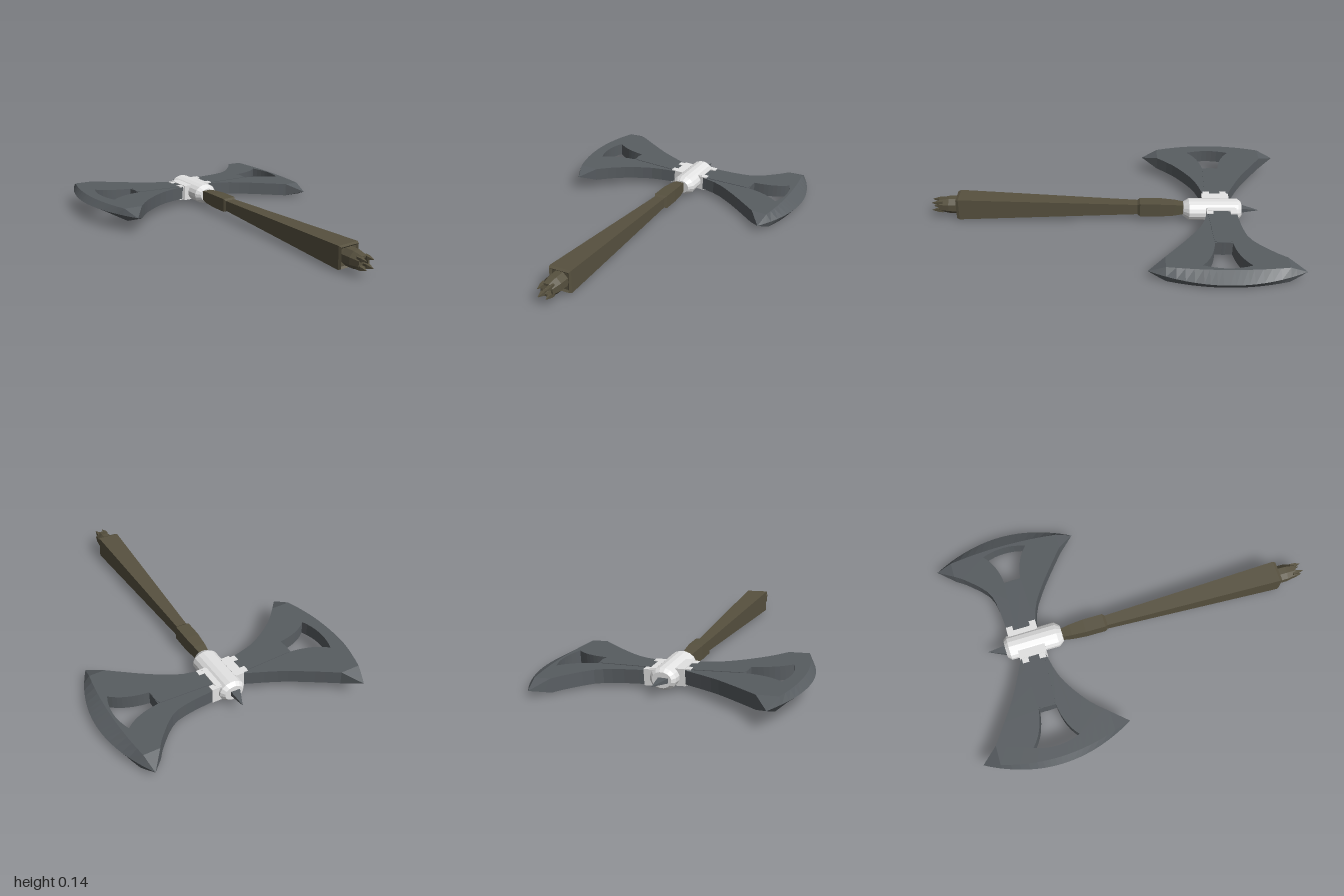
import * as THREE from 'three';

const paint = (name, color) => {
  const m = new THREE.MeshStandardMaterial({ color });
  m.name = name;
  return m;
};

function fromPositions(pos) {
  const g = new THREE.BufferGeometry();
  g.setAttribute('position', new THREE.Float32BufferAttribute(pos, 3));
  g.computeVertexNormals();
  return g;
}

// Loft polygon sections [x, centreY, centreZ, halfY, halfZ] along x.
function loft(sections, sides) {
  const k = 1 / Math.cos(Math.PI / sides);
  const rings = sections.map(([x, cy, cz, hy, hz]) =>
    Array.from({ length: sides }, (_, i) => {
      const a = ((i + 0.5) / sides) * Math.PI * 2;
      return [x, cy + Math.cos(a) * hy * k, cz + Math.sin(a) * hz * k];
    }));
  const pos = [];
  for (let s = 0; s < rings.length - 1; s++) {
    for (let i = 0; i < sides; i++) {
      const j = (i + 1) % sides;
      const a = rings[s][i], b = rings[s][j], c = rings[s + 1][j], d = rings[s + 1][i];
      pos.push(...a, ...b, ...c, ...a, ...c, ...d);
    }
  }
  // End caps
  const first = rings[0], last = rings[rings.length - 1];
  for (let i = 1; i < sides - 1; i++) {
    pos.push(...first[0], ...first[i + 1], ...first[i]);
    pos.push(...last[0], ...last[i], ...last[i + 1]);
  }
  return fromPositions(pos);
}

function mesh(name, geometry, material) {
  const m = new THREE.Mesh(geometry, material);
  m.name = name;
  return m;
}

const THICK = 0.072, TIP = 0.4, TIP_D = 0.582;
const HOLE_X = 0.125, HOLE_D = 0.58, SIDE_X = 0.31, SIDE_D = 0.51;

// Forked web between hub and rim; sides run from the rim in to the neck as [x, distance].
function webGeometry(left, right) {
  const smooth = (pts) => new THREE.SplineCurve(pts.map((p) => new THREE.Vector2(...p))).getPoints(10);
  const shape = new THREE.Shape(smooth(left).reverse());
  shape.lineTo(-HOLE_X, HOLE_D);
  shape.quadraticCurveTo(-0.06, 0.51, -0.047, 0.387);
  shape.lineTo(0.047, 0.387);
  shape.quadraticCurveTo(0.06, 0.51, HOLE_X, HOLE_D);
  for (const p of smooth(right)) shape.lineTo(p.x, p.y);
  const g = new THREE.ExtrudeGeometry(shape, { depth: THICK, bevelEnabled: false, curveSegments: 8 });
  return g.translate(0, 0, -THICK / 2);
}

// Inner boundary of the rim: opening arc, then web joint, then out to the tip.
function rimInner(x) {
  const a = Math.abs(x);
  if (a <= HOLE_X) return 0.605 - 0.025 * (a / HOLE_X) ** 2;
  if (a <= SIDE_X) return THREE.MathUtils.mapLinear(a, HOLE_X, SIDE_X, HOLE_D, SIDE_D);
  return THREE.MathUtils.mapLinear(a, SIDE_X, TIP, SIDE_D, TIP_D);
}

// Crescent rim with a sharpened edge, lofted from tip to tip.
function rimGeometry() {
  const half = [0, 0.03, 0.06, 0.095, HOLE_X, 0.17, 0.215, 0.26, SIDE_X, 0.34, 0.37, TIP];
  const xs = [...half.slice(1).reverse().map((x) => -x), ...half];
  const sections = xs.map((x) => {
    const h = (THICK / 2) * Math.min(1, (TIP - Math.abs(x)) / (TIP - SIDE_X));
    const arc = (rise) => TIP_D + rise * (1 - (x / TIP) ** 2);
    const inner = rimInner(x);
    return [[x, inner, h], [x, arc(0.036), h], [x, arc(0.115), 0], [x, arc(0.085), -h], [x, inner, -h]];
  });
  const pos = [];
  for (let s = 0; s < sections.length - 1; s++) {
    const p = sections[s], q = sections[s + 1];
    for (let k = 0; k < p.length; k++) {
      const n = (k + 1) % p.length;
      pos.push(...p[k], ...q[k], ...q[n], ...p[k], ...q[n], ...p[n]);
    }
  }
  return fromPositions(pos);
}

// Raised tongue between hub and opening.
function neckGeometry() {
  const s = new THREE.Shape();
  s.moveTo(-0.06, 0.03);
  s.lineTo(0.06, 0.03);
  s.lineTo(0.047, 0.375);
  s.quadraticCurveTo(0, 0.4, -0.047, 0.375);
  s.closePath();
  const g = new THREE.ExtrudeGeometry(s, { depth: 0.078, bevelEnabled: false });
  return g.translate(0, 0, -0.039);
}

export function createModel() {
  const model = new THREE.Group();
  model.name = 'doubleAxe';
  const steel = paint('darkSteel', 0x585d61);
  const silver = paint('silver', 0xe4e4e4);
  const wood = paint('darkWood', 0x57513f);

  // Twin blades, tilted slightly across the handle
  const head = new THREE.Group();
  head.name = 'axeHead';
  head.position.set(-0.595, 0.068, 0);
  head.rotation.x = -0.047;
  model.add(head);
  const blades = [
    ['frontBlade', 1, [-0.045, 0.05],
      [[-SIDE_X, SIDE_D], [-0.23, 0.39], [-0.15, 0.26], [-0.065, 0.08]],
      [[SIDE_X, SIDE_D], [0.21, 0.41], [0.11, 0.25], [0.065, 0.08]]],
    ['backBlade', -1, [-0.085, 0.045],
      [[-SIDE_X, SIDE_D], [-0.25, 0.465], [-0.15, 0.36], [-0.115, 0.25], [-0.1, 0.08]],
      [[SIDE_X, SIDE_D], [0.27, 0.46], [0.17, 0.33], [0.09, 0.2], [0.06, 0.08]]],
  ];
  for (const [name, dir, claws, left, right] of blades) {
    const blade = new THREE.Group();
    blade.name = name;
    blade.rotation.x = (dir * Math.PI) / 2;
    blade.add(mesh('bladeWeb', webGeometry(left, right), steel));
    blade.add(mesh('bladeRim', rimGeometry(), steel));
    blade.add(mesh('bladeNeck', neckGeometry(), steel));
    // Silver claws and collar gripping the blade root
    for (const x of claws) {
      const claw = mesh('clampClaw', new THREE.BoxGeometry(0.036, 0.07, 0.084), silver);
      claw.position.set(x, 0.08, 0);
      blade.add(claw);
    }
    const collar = mesh('clampCollar', new THREE.BoxGeometry(0.15, 0.05, 0.088), silver);
    collar.position.set((claws[0] + claws[1]) / 2, 0.062, 0);
    blade.add(collar);
    head.add(blade);
  }

  // Silver hub
  model.add(mesh('hub', loft([
    [-0.73, 0.07, -0.01, 0.04, 0.05],
    [-0.71, 0.07, -0.01, 0.056, 0.068],
    [-0.44, 0.07, -0.01, 0.056, 0.07],
    [-0.41, 0.07, -0.008, 0.038, 0.046],
  ], 16), silver));

  // Rear spike
  model.add(mesh('rearSpike', loft([
    [-0.825, 0.07, -0.02, 0.001, 0.001],
    [-0.72, 0.07, 0.0, 0.014, 0.028],
  ], 4), steel));

  // Handle: collar, then a square shaft widening toward the pommel
  model.add(mesh('collar', loft([
    [-0.42, 0.072, 0, 0.026, 0.024],
    [-0.36, 0.072, 0.001, 0.034, 0.032],
    [-0.28, 0.073, 0.002, 0.038, 0.038],
    [-0.17, 0.073, 0.003, 0.038, 0.038],
    [-0.155, 0.073, 0.004, 0.029, 0.029],
  ], 4), wood));
  model.add(mesh('shaft', loft([
    [-0.17, 0.073, 0.004, 0.029, 0.029],
    [0.84, 0.075, 0.019, 0.061, 0.061],
    [0.855, 0.075, 0.019, 0.055, 0.055],
    [0.845, 0.075, 0.019, 0.046, 0.046],
  ], 4), wood));

  // Hollow pommel with a jagged crown
  model.add(mesh('pommel', loft([
    [0.84, 0.075, 0.02, 0.046, 0.046],
    [0.9, 0.075, 0.021, 0.045, 0.045],
    [0.955, 0.074, 0.022, 0.035, 0.035],
    [0.955, 0.074, 0.022, 0.024, 0.024],
    [0.87, 0.074, 0.022, 0.022, 0.022],
  ], 8), wood));
  for (let i = 0; i < 4; i++) {
    const a = (i + 0.5) * Math.PI / 2, c = Math.cos(a), s = Math.sin(a);
    model.add(mesh('crownPoint', loft([
      [0.935, 0.074 + c * 0.031, 0.022 + s * 0.031, 0.011, 0.011],
      [0.96, 0.074 + c * 0.03, 0.022 + s * 0.03, 0.01, 0.01],
      [0.995, 0.074 + c * 0.032, 0.022 + s * 0.032, 0.001, 0.001],
    ], 4), wood));
  }
  return model;
}
